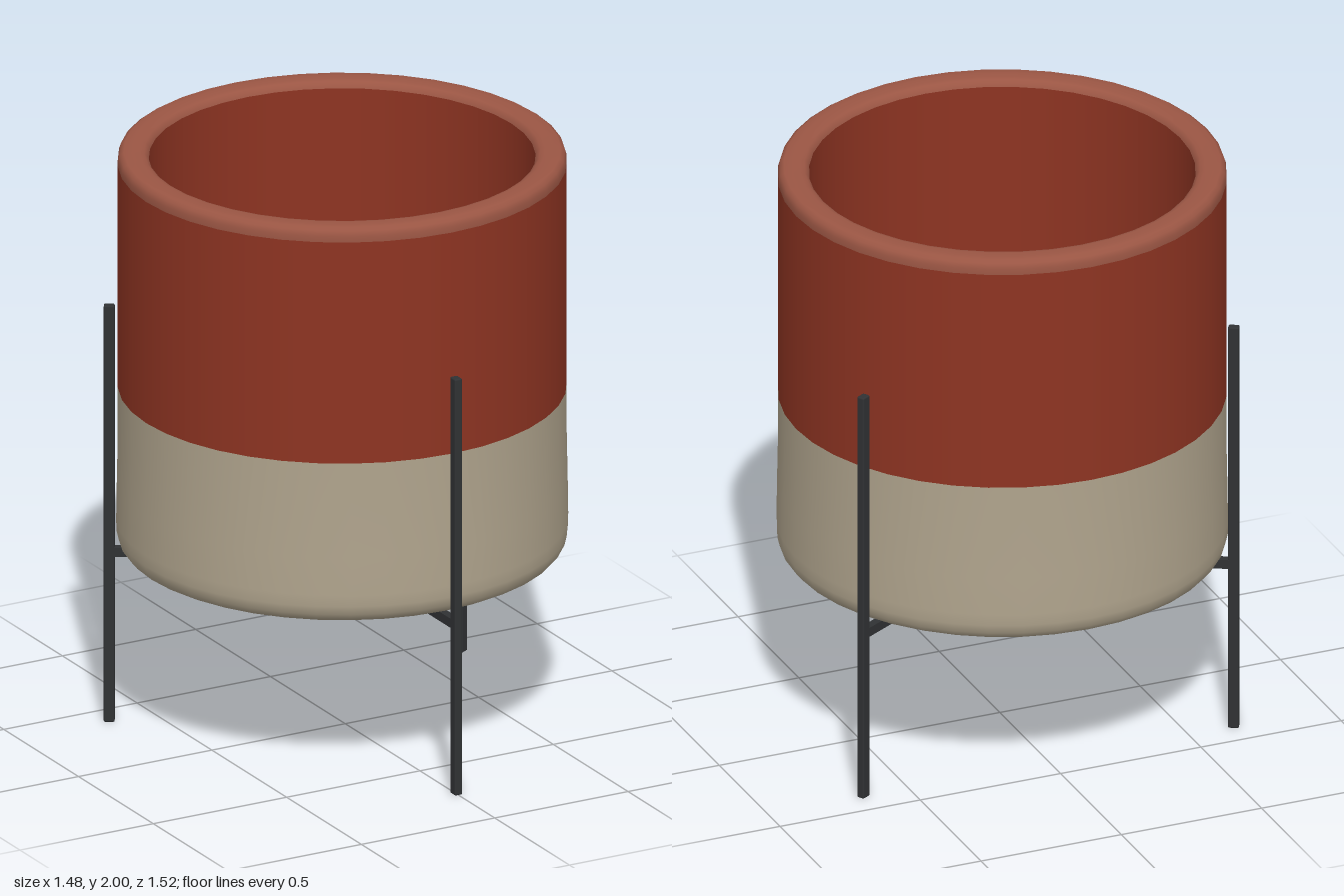
import * as THREE from 'three';
import { RoundedBoxGeometry } from 'three/addons/geometries/RoundedBoxGeometry.js';

const mat = (name, color) => {
  const m = new THREE.MeshStandardMaterial({ color });
  m.name = name;
  return m;
};

export function createModel() {
  const terracotta = mat('terracotta', 0x8e3422);
  const clay = mat('light clay rim', 0x9b5644);
  const cream = mat('cream glaze', 0xb0a48d);
  const metal = mat('dark metal', 0x303234);

  const model = new THREE.Group();
  model.name = 'planter';

  const pot = new THREE.Group();
  pot.name = 'pot';
  pot.position.z = -0.02;
  model.add(pot);

  // Profiles run up the outside, over the rim and down the inside
  const turn = (name, material, profile) => {
    const points = profile.map(([r, y]) => new THREE.Vector2(r, y));
    const mesh = new THREE.Mesh(new THREE.LatheGeometry(points, 40), material);
    mesh.name = name;
    pot.add(mesh);
  };
  turn('potUnderside', cream, [[0, 0.605], [0.61, 0.605]]);
  turn('lowerWall', cream, [[0.61, 0.605], [0.655, 0.608], [0.688, 0.615], [0.715, 0.629],
    [0.732, 0.65], [0.739, 0.68], [0.74, 0.72], [0.738, 0.85], [0.735, 1.0], [0.735, 1.18]]);
  turn('upperWall', terracotta, [[0.735, 1.18], [0.735, 1.953]]);
  turn('rim', clay, [[0.735, 1.953], [0.735, 1.973], [0.729, 1.991], [0.715, 2], [0.69, 2],
    [0.663, 2], [0.648, 1.996], [0.638, 1.988], [0.633, 1.976]]);
  turn('innerWall', terracotta, [[0.633, 1.976], [0.633, 0.705]]);
  turn('innerFloor', terracotta, [[0.633, 0.705], [0, 0.705]]);

  // Stand: three legs, each joined to the centre by a bar under the pot
  const stand = new THREE.Group();
  stand.name = 'stand';
  stand.position.z = -0.02;
  model.add(stand);
  const radius = 0.762;
  for (let i = 0; i < 3; i++) {
    const arm = new THREE.Group();
    arm.name = 'standArm';
    arm.rotation.y = (i * Math.PI * 2) / 3;

    const leg = new THREE.Mesh(new RoundedBoxGeometry(0.028, 1.455, 0.036, 2, 0.005), metal);
    leg.name = 'leg';
    leg.position.set(0, 0.7275, radius);

    const bar = new THREE.Mesh(new THREE.BoxGeometry(0.028, 0.032, radius), metal);
    bar.name = 'crossBar';
    bar.position.set(0, 0.594, radius / 2);

    arm.add(leg, bar);
    stand.add(arm);
  }
  return model;
}
